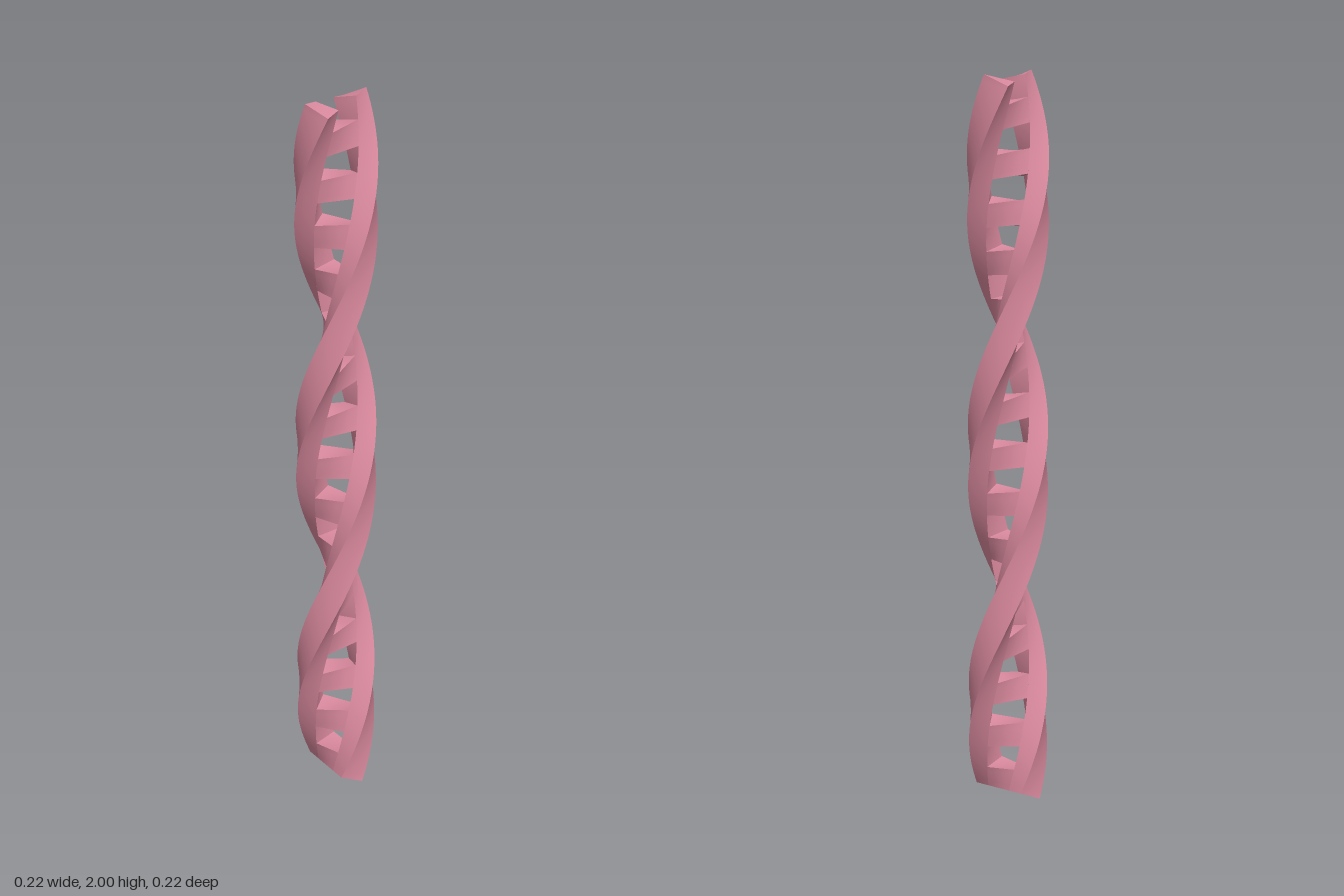
import * as THREE from 'three';
import { toCreasedNormals } from 'three/addons/utils/BufferGeometryUtils.js';

const TWIST = Math.PI / 0.731;        // radians turned per unit of height
const BOTTOM = 0.013, TOP = 1.987;    // ends of the strand centre lines
const WIDTH = 0.066, INNER = 0.048, OUTER = 0.104;

// Wind a straight ladder piece around the y axis; sections lean to stay square to the helix
function wind(geometry) {
  const p = geometry.attributes.position;
  for (let i = 0; i < p.count; i++) {
    const u = p.getX(i), h = p.getY(i), w = p.getZ(i);
    const s = Math.sin(h * TWIST), c = Math.cos(h * TWIST);
    p.setXYZ(i, u * s - w * c, h + TWIST * u * w, u * c + w * s);
  }
  return toCreasedNormals(geometry, 0.7);
}

export function createModel() {
  const model = new THREE.Group();
  model.name = 'twistedLadder';
  const pink = new THREE.MeshStandardMaterial({ color: 0xd9899d });
  pink.name = 'pink';

  const add = (name, geometry) => {
    const mesh = new THREE.Mesh(wind(geometry), pink);
    mesh.name = name;
    model.add(mesh);
  };

  // Two opposite strands
  for (const side of [1, -1]) {
    const strand = new THREE.BoxGeometry(OUTER - INNER, TOP - BOTTOM, WIDTH, 2, 120, 2);
    strand.translate(side * (INNER + OUTER) / 2, (TOP + BOTTOM) / 2, 0);
    add(side > 0 ? 'firstStrand' : 'secondStrand', strand);
  }

  // Evenly spaced rungs, the lowest flush with the bottom of the strands
  for (let i = 0; i < 15; i++) {
    const low = i === 0 ? BOTTOM : 0.007 + i * 0.1325;
    const high = 0.073 + i * 0.1325;
    const rung = new THREE.BoxGeometry(INNER * 2, high - low, WIDTH, 4, 4, 2);
    rung.translate(0, (low + high) / 2, 0);
    add('rung' + (i + 1), rung);
  }
  return model;
}
